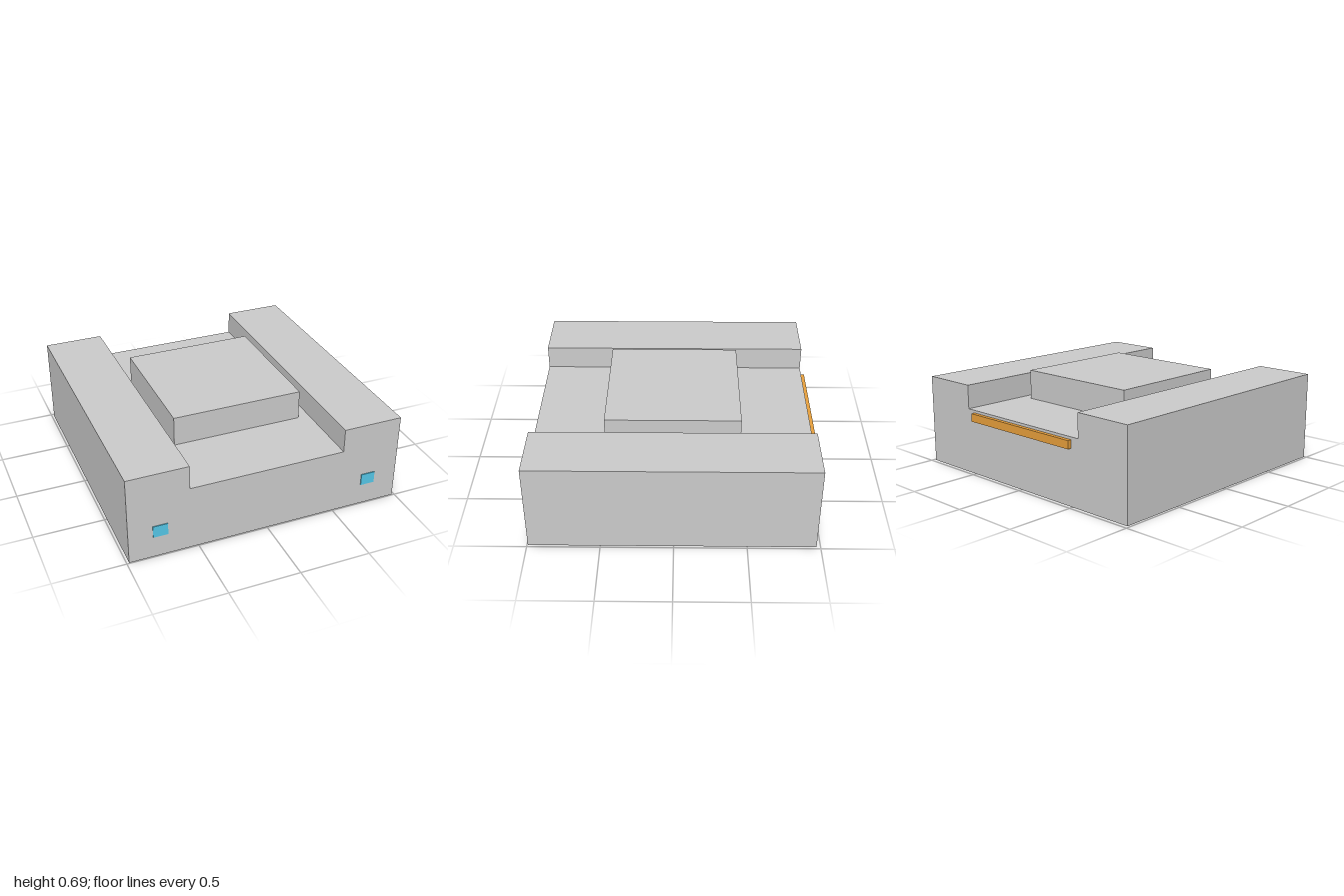
import * as THREE from 'three';

const grey = new THREE.MeshStandardMaterial({ color: 0xcccccc });
const blue = new THREE.MeshStandardMaterial({ color: 0x55c8e8 });
const orange = new THREE.MeshStandardMaterial({ color: 0xe8a03c });

// Box given by its size and centre
function box(name, material, [w, h, d], [x, y, z]) {
  const mesh = new THREE.Mesh(new THREE.BoxGeometry(w, h, d), material);
  mesh.name = name;
  mesh.position.set(x, y, z);
  return mesh;
}

export function createModel() {
  const model = new THREE.Group();
  model.name = 'model';

  const half = 0.983, top = 0.643, channel = 0.555, floor = 0.472;
  const back = -0.972, front = 0.994;

  // Body: U-shaped section with a channel running front to back
  const section = new THREE.Shape([
    [-half, 0], [half, 0], [half, top], [channel, top],
    [channel, floor], [-channel, floor], [-channel, top], [-half, top],
  ].map(([x, y]) => new THREE.Vector2(x, y)));
  const body = new THREE.Mesh(
    new THREE.ExtrudeGeometry(section, { depth: front - back, bevelEnabled: false }), grey);
  body.name = 'body';
  body.position.z = back;
  model.add(body);

  // Raised square block in the channel
  const blockTop = 0.685;
  model.add(box('centreBlock', grey, [0.943, blockTop - floor, 0.943],
    [0, (blockTop + floor) / 2, 0.011]));

  // Pair of small front lights
  for (const [name, side] of [['leftLight', 1], ['rightLight', -1]]) {
    model.add(box(name, blue, [0.103, 0.086, 0.012], [side * 0.763, 0.202, 0.994]));
  }

  // Long bar across the back
  model.add(box('rearBar', orange, [0.984, 0.058, 0.028], [0, 0.424, -0.986]));

  return model;
}
